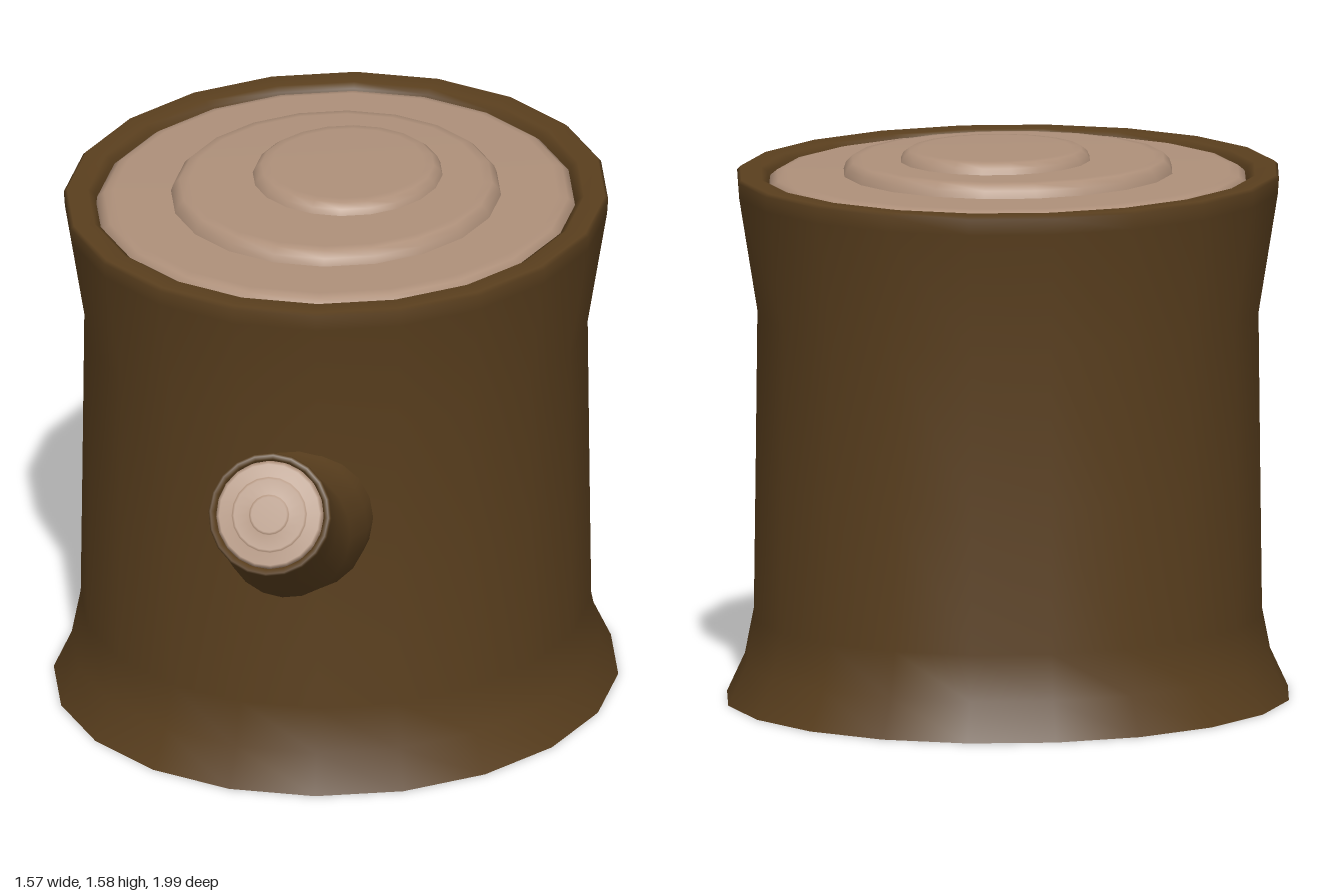
import * as THREE from 'three';

const V = (x, y, z) => new THREE.Vector3(x, y, z);
const SIDES = 20;

const bark = new THREE.MeshStandardMaterial({ color: 0x5a3f1e, side: THREE.DoubleSide });
const wood = new THREE.MeshStandardMaterial({ color: 0xae907a, side: THREE.DoubleSide });

// Turned surface from [radius, height] pairs, listed from bottom to top
function turned(name, profile, material) {
  const points = profile.map(([r, y]) => new THREE.Vector2(r, y));
  const mesh = new THREE.Mesh(new THREE.LatheGeometry(points, SIDES), material);
  mesh.name = name;
  return mesh;
}

// Smooth skin over round sections { at, dir, r }
function loft(name, sections, material) {
  const position = [], index = [];
  sections.forEach(({ at, dir, r }, k) => {
    const n = dir.clone().normalize();
    const side = V(0, 1, 0).cross(n).normalize();
    const up = n.clone().cross(side);
    for (let i = 0; i < SIDES; i++) {
      const a = (i / SIDES) * Math.PI * 2;
      const p = at.clone().addScaledVector(side, r * Math.cos(a)).addScaledVector(up, r * Math.sin(a));
      position.push(p.x, p.y, p.z);
      if (k === 0) continue;
      const j = (i + 1) % SIDES, lo = (k - 1) * SIDES, hi = k * SIDES;
      index.push(lo + i, lo + j, hi + j, lo + i, hi + j, hi + i);
    }
  });
  const geometry = new THREE.BufferGeometry();
  geometry.setAttribute('position', new THREE.Float32BufferAttribute(position, 3));
  geometry.setIndex(index);
  geometry.computeVertexNormals();
  const mesh = new THREE.Mesh(geometry, material);
  mesh.name = name;
  return mesh;
}

export function createModel() {
  const model = new THREE.Group();
  model.name = 'treeStump';

  // Slightly oval trunk, open underneath, with a rolled rim
  const stump = new THREE.Group();
  stump.name = 'stump';
  stump.position.z = -0.18;
  stump.scale.z = 1.045;
  stump.add(turned('trunk', [
    [0.785, 0], [0.735, 0.11], [0.71, 0.24], [0.705, 0.65], [0.7, 1.11],
    [0.754, 1.45], [0.757, 1.495], [0.748, 1.504], [0.69, 1.502], [0.672, 1.49], [0.665, 1.45],
  ], bark));

  // Cut face with stepped growth rings; the middle step sits a little to the back
  stump.add(turned('cutFace', [
    [0.668, 1.45], [0.664, 1.48], [0.645, 1.496], [0.62, 1.502], [0, 1.504],
  ], wood));
  const step = (name, r, y, h, z) => {
    const mesh = turned(name, [
      [r, y], [r - 0.008, y + h * 0.55], [r - 0.025, y + h * 0.95], [r - 0.05, y + h], [0, y + h],
    ], wood);
    mesh.position.z = z;
    stump.add(mesh);
  };
  step('outerGrowthRing', 0.46, 1.5, 0.043, 0);
  step('innerGrowthRing', 0.265, 1.541, 0.034, -0.05);
  model.add(stump);

  // Branch stub: leaves the trunk level, then bends upward
  const tip = V(0.62, 1.09, 0.885);
  const aim = V(0.46, 0.46, 0.76).normalize();
  const along = (d) => tip.clone().addScaledVector(aim, d);
  model.add(loft('branch', [
    { at: V(0.3, 0.82, 0.34), dir: V(0.42, 0.03, 0.9), r: 0.215 },
    { at: V(0.385, 0.835, 0.47), dir: V(0.42, 0.12, 0.88), r: 0.205 },
    { at: V(0.465, 0.88, 0.615), dir: V(0.43, 0.38, 0.8), r: 0.182 },
    { at: V(0.54, 0.985, 0.75), dir: aim, r: 0.172 },
    { at: along(-0.02), dir: aim, r: 0.175 },
    { at: along(-0.005), dir: aim, r: 0.174 },
    { at: along(0), dir: aim, r: 0.168 },
    { at: along(-0.002), dir: aim, r: 0.157 },
    { at: along(-0.02), dir: aim, r: 0.152 },
  ], bark));

  // Cut end of the branch with fine rings
  const end = turned('branchCutFace', [
    [0.154, -0.02], [0.151, -0.004], [0.143, 0], [0.108, 0], [0.106, 0.004],
    [0.1, 0.005], [0.058, 0.005], [0.056, 0.009], [0.05, 0.01], [0, 0.01],
  ], wood);
  end.position.copy(tip);
  end.quaternion.setFromUnitVectors(V(0, 1, 0), aim);
  model.add(end);

  return model;
}
